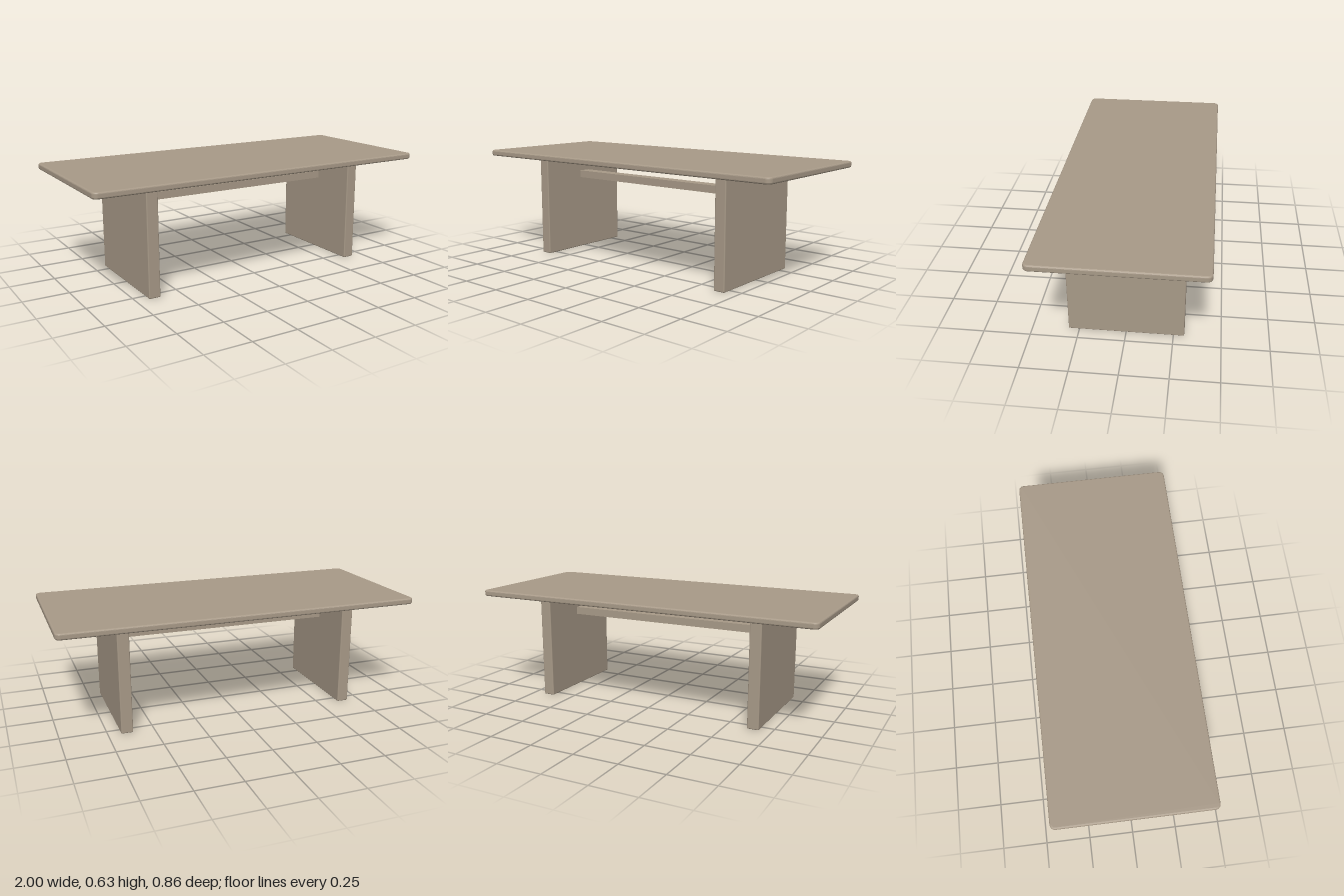
import * as THREE from 'three';
import { RoundedBoxGeometry } from 'three/addons/geometries/RoundedBoxGeometry.js';

const wood = new THREE.MeshStandardMaterial({ color: 0xa89a88 });
wood.name = 'taupeWood';

// Flat slab with rounded corners in plan and softened top and bottom edges
function slabGeometry(width, depth, height, radius, bevel) {
  const x = width / 2 - bevel, y = depth / 2 - bevel, r = radius - bevel;
  const shape = new THREE.Shape();
  shape.absarc(x - r, y - r, r, 0, Math.PI / 2);
  shape.absarc(-x + r, y - r, r, Math.PI / 2, Math.PI);
  shape.absarc(-x + r, -y + r, r, Math.PI, Math.PI * 1.5);
  shape.absarc(x - r, -y + r, r, Math.PI * 1.5, Math.PI * 2);
  const geometry = new THREE.ExtrudeGeometry(shape, {
    depth: height - 2 * bevel, bevelThickness: bevel, bevelSize: bevel,
    bevelSegments: 4, curveSegments: 6,
  });
  return geometry.translate(0, 0, bevel).rotateX(-Math.PI / 2);
}

export function createModel() {
  const table = new THREE.Group();
  table.name = 'table';

  const add = (name, geometry, x, y) => {
    const mesh = new THREE.Mesh(geometry, wood);
    mesh.name = name;
    mesh.position.set(x, y, 0);
    table.add(mesh);
  };

  // Table top
  add('tableTop', slabGeometry(2, 0.864, 0.034, 0.028, 0.009), 0, 0.592);

  // Panel legs
  const leg = new RoundedBoxGeometry(0.065, 0.593, 0.614, 3, 0.006);
  add('leftLeg', leg, 0.648, 0.2965);
  add('rightLeg', leg, -0.648, 0.2965);

  // Stretcher between the legs
  add('stretcher', new THREE.BoxGeometry(1.24, 0.043, 0.07), 0, 0.469);

  return table;
}
